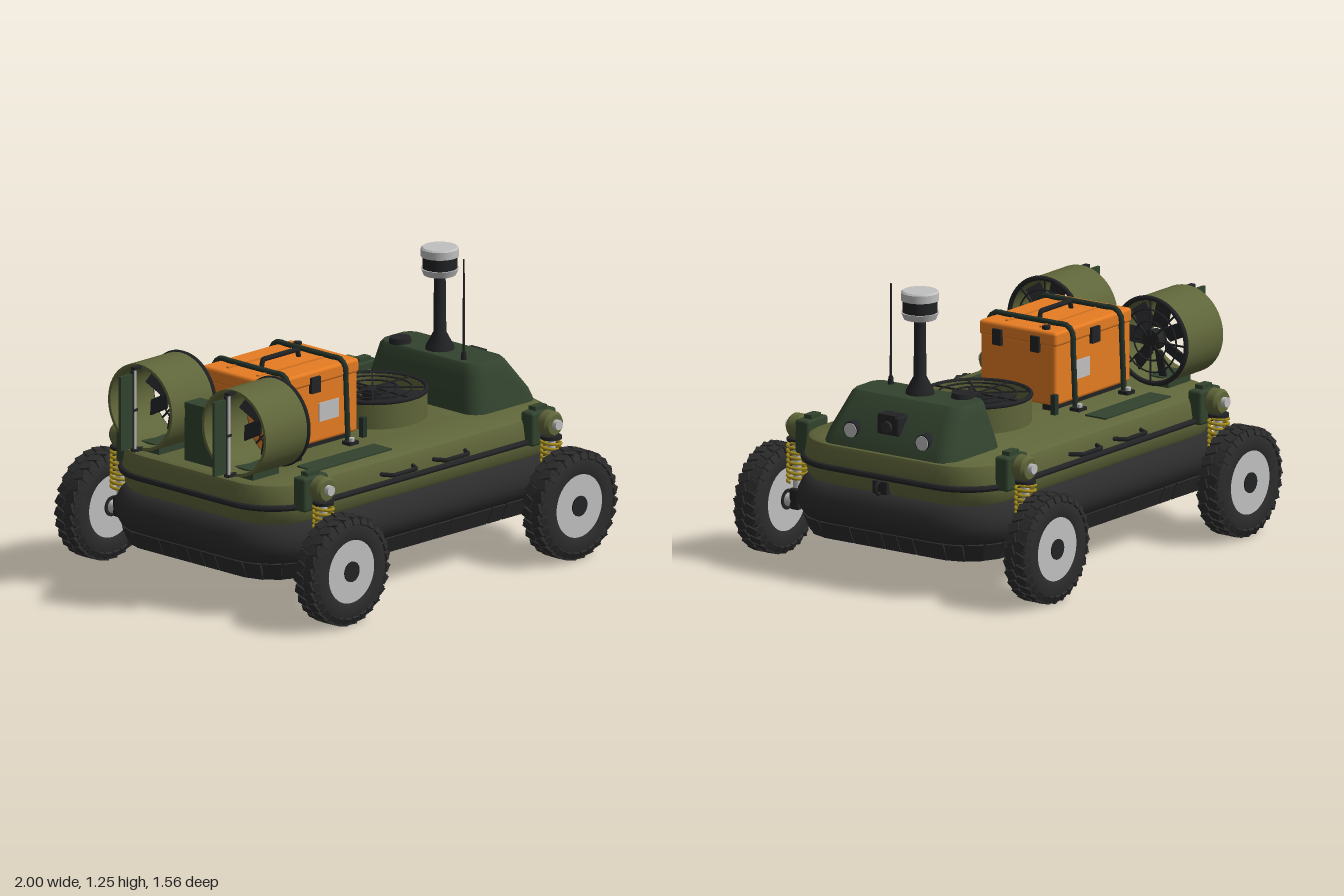
import * as THREE from 'three';
import { mergeGeometries, toCreasedNormals } from 'three/addons/utils/BufferGeometryUtils.js';
import { RoundedBoxGeometry } from 'three/addons/geometries/RoundedBoxGeometry.js';

const mat = (name, color) => Object.assign(new THREE.MeshStandardMaterial({ color }), { name });
const M = {
  olive: mat('olive paint', 0x60663a), green: mat('dark green paint', 0x32432e),
  strap: mat('strap green', 0x24332a), orange: mat('orange case', 0xe67c22),
  rubber: mat('rubber', 0x2c2c2d), black: mat('black plastic', 0x222325),
  grey: mat('light grey metal', 0xc0c0c0), gold: mat('spring gold', 0xa58c1c),
};

export function createModel() {
  const root = new THREE.Group();
  const add = (name, geo, m, x = 0, y = 0, z = 0, parent = root) => {
    const mesh = new THREE.Mesh(geo, m);
    mesh.name = name;
    mesh.position.set(x, y, z);
    parent.add(mesh);
    return mesh;
  };
  const group = (name, x, y, z, parent = root) => {
    const g = new THREE.Group();
    g.name = name;
    g.position.set(x, y, z);
    parent.add(g);
    return g;
  };
  const box = (w, h, d) => new THREE.BoxGeometry(w, h, d);
  const rbox = (w, h, d, r = 0.015) => new RoundedBoxGeometry(w, h, d, 2, r);
  const cyl = (r0, r1, h, n = 24) => new THREE.CylinderGeometry(r0, r1, h, n);
  const lathe = (pts, n = 40) => toCreasedNormals(new THREE.LatheGeometry(pts.map(p => new THREE.Vector2(...p)), n), 0.6);
  const tube = (pts, r, seg = 6) => {
    const path = new THREE.CurvePath();
    const v = pts.map(p => new THREE.Vector3(...p));
    for (let i = 1; i < v.length; i++) path.add(new THREE.LineCurve3(v[i - 1], v[i]));
    return new THREE.TubeGeometry(new THREE.CatmullRomCurve3(path.getSpacedPoints(24)), 48, r, seg);
  };

  // Rounded rectangle around x0..x1, half width hz
  const outline = (x0, x1, hz, r, n = 8) => {
    const pts = [];
    [[x1 - r, hz - r], [x0 + r, hz - r], [x0 + r, r - hz], [x1 - r, r - hz]].forEach(([cx, cz], q) => {
      for (let i = 0; i <= n; i++) {
        const a = (q + i / n) * Math.PI / 2;
        pts.push([cx + r * Math.cos(a), cz + r * Math.sin(a)]);
      }
    });
    return pts;
  };
  // Skin through sections [y, x0, x1, hz, r]
  const loft = (sections, caps = true) => {
    const pos = [], idx = [];
    sections.forEach(([y, ...o]) => outline(...o).forEach(([x, z]) => pos.push(x, y, z)));
    const n = 36, last = (sections.length - 1) * n;
    for (let s = 0; s < sections.length - 1; s++) for (let i = 0; i < n; i++) {
      const a = s * n + i, b = s * n + (i + 1) % n;
      idx.push(a, a + n, b, b, a + n, b + n);
    }
    for (let i = 1; caps && i < n - 1; i++) idx.push(last, last + i + 1, last + i, 0, i, i + 1);
    const g = new THREE.BufferGeometry();
    g.setAttribute('position', new THREE.Float32BufferAttribute(pos, 3));
    g.setIndex(idx);
    return toCreasedNormals(g, 0.6);
  };
  const inset = ([y, d]) => [y, -0.91 + d, 0.988 - d, 0.555 - d, 0.27 - d];

  // Inflatable skirt, its fingers leaning inward below, and the raised floor
  add('skirt', loft([[0.35, 0.15], [0.28, 0.135], [0.23, 0.11], [0.2, 0.085], [0.2, 0.072], [0.225, 0.05], [0.25, 0.026],
    [0.285, 0.005], [0.315, 0], [0.35, 0.005], [0.385, 0.022], [0.407, 0.045], [0.415, 0.08]].map(inset), false), M.rubber);
  add('floor', loft([[0.33, 0.13], [0.36, 0.13]].map(inset)), M.olive);
  const edge = new THREE.CatmullRomCurve3(outline(...inset([0, 0.052]).slice(1)).map(p => new THREE.Vector3(p[0], 0.204, p[1])), true, 'catmullrom', 0.1);
  const fingers = [];
  for (let i = 0; i < 64; i++) {
    const p = edge.getPointAt(i / 64), t = edge.getTangentAt(i / 64);
    fingers.push(box(0.08, 0.084, 0.014).rotateX(-0.42).rotateY(Math.atan2(-t.z, t.x)).translate(p.x, p.y, p.z));
  }
  add('skirtFingers', mergeGeometries(fingers), M.rubber);

  // Hull and rub rail
  add('hull', loft([[0.405, 0.06], [0.425, 0.046], [0.47, 0.036], [0.51, 0.034], [0.565, 0.043], [0.582, 0.05], [0.592, 0.068]].map(inset)), M.olive);
  const ring = [];
  for (let i = 0; i <= 8; i++) {
    const a = -Math.PI + i * Math.PI / 4;
    ring.push(inset([0.489 + 0.014 * Math.sin(a), 0.028 - 0.014 * Math.cos(a)]));
  }
  add('rubRail', loft(ring, false), M.black);
  for (const s of [1, -1]) {
    add('deckPanel', box(0.47, 0.008, 0.11), M.green, -0.305, 0.595, s * 0.385);
    for (const x of [-0.12, 0.2])
      add('sideHandle', tube([[x - 0.1, 0.53, s * 0.51], [x - 0.07, 0.53, s * 0.565], [x + 0.07, 0.53, s * 0.565], [x + 0.1, 0.53, s * 0.51]], 0.01), M.black);
  }
  add('towBlock', box(0.05, 0.055, 0.075), M.black, 0.94, 0.442, 0);
  add('towRing', new THREE.TorusGeometry(0.026, 0.008, 8, 20), M.black, 0.968, 0.442, 0);

  // Ducted fan, axis along local y, guard at the top
  const fan = (name, R, h, x, y, z) => {
    const g = group(name, x, y, z);
    add('duct', lathe([[R - 0.016, h], [R - 0.02, h / 2], [R - 0.014, 0], [R, 0], [R, h], [R - 0.016, h]], 48), M.olive, 0, 0, 0, g);
    add('guardRim', new THREE.TorusGeometry(R - 0.004, 0.011, 8, 48).rotateX(Math.PI / 2), M.black, 0, h, 0, g);
    for (const k of [0.45, 0.72])
      add('guardRing', new THREE.TorusGeometry(R * k, 0.004, 6, 40).rotateX(Math.PI / 2), M.black, 0, h + 0.004, 0, g);
    add('fanHub', cyl(0.045, 0.045, 0.05), M.black, 0, h - 0.025, 0, g);
    const parts = [];
    for (let i = 0; i < 8; i++)
      parts.push(box(R - 0.03, 0.007, 0.007).translate(R / 2 + 0.01, h + 0.002, 0).rotateY(i * Math.PI / 4));
    for (let i = 0; i < 7; i++)
      parts.push(box(R - 0.08, 0.008, 0.07).rotateX(0.5).translate(R / 2 + 0.012, h - 0.045, 0).rotateY(i * Math.PI / 3.5 + 0.2));
    add('bladesAndSpokes', mergeGeometries(parts), M.black, 0, 0, 0, g);
    return g;
  };
  fan('liftFan', 0.235, 0.12, 0.262, 0.59, 0);
  add('liftMotor', cyl(0.044, 0.044, 0.075), M.grey, 0.262, 0.625, 0);

  // Rear thrusters with rudders
  for (const s of [1, -1]) {
    fan('thruster', 0.192, 0.262, -0.875, 0.803, s * 0.28).rotation.z = -Math.PI / 2;
    add('thrusterFoot', box(0.16, 0.06, 0.12), M.green, -0.74, 0.605, s * 0.28);
    add('rudder', box(0.07, 0.33, 0.014), M.green, -0.965, 0.8, s * 0.28);
    add('rudderEdge', cyl(0.008, 0.008, 0.36, 8), M.black, -0.924, 0.8, s * 0.28);
    add('rudderPost', cyl(0.007, 0.007, 0.38, 8), M.grey, -0.907, 0.8, s * 0.28);
    for (const y of [0.62, 0.985]) add('rudderBracket', box(0.06, 0.012, 0.024), M.black, -0.89, y, s * 0.28);
    add('rudderStay', box(0.03, 0.012, 0.014), M.black, -0.91, 0.8, s * 0.28);
  }
  add('thrusterPylon', box(0.095, 0.26, 0.18), M.green, -0.75, 0.72, 0);

  // Cargo case
  const cargo = group('cargoCase', -0.305, 0, 0);
  add('caseBody', rbox(0.545, 0.275, 0.4), M.orange, 0, 0.757, 0, cargo);
  add('caseLid', rbox(0.555, 0.065, 0.41), M.orange, 0, 0.913, 0, cargo);
  add('caseHandle', tube([[-0.115, 0.94, 0], [-0.105, 0.978, 0], [0.105, 0.978, 0], [0.115, 0.94, 0]], 0.011), M.black, 0, 0, 0, cargo);
  add('valveKnob', cyl(0.018, 0.018, 0.02, 16), M.black, 0.235, 0.95, -0.125, cargo);
  for (const s of [1, -1]) {
    add('lidRib', box(0.46, 0.012, 0.012), M.orange, 0, 0.947, s * 0.09, cargo);
    add('sideLatch', box(0.055, 0.07, 0.02), M.black, 0, 0.885, s * 0.208, cargo);
    add('sideLabel', box(0.12, 0.083, 0.006), M.grey, 0.09, 0.753, s * 0.202, cargo);
    add('frontLatch', box(0.02, 0.07, 0.045), M.black, 0.28, 0.885, s * 0.1, cargo);
    add('caseStop', box(0.025, 0.09, 0.025), M.strap, 0.292, 0.635, s * 0.21, cargo);
    add('caseFoot', box(0.5, 0.04, 0.05), M.black, 0, 0.607, s * 0.14, cargo);
    for (const x of [-0.175, 0.175]) {
      add('strapAnchor', box(0.055, 0.015, 0.05), M.black, x, 0.6, s * 0.25, cargo);
      add('strapBolt', cyl(0.012, 0.012, 0.02, 12), M.grey, x, 0.612, s * 0.258, cargo);
    }
  }
  for (const x of [-0.175, 0.175])
    add('strap', tube([[x, 0.6, -0.235], [x, 0.93, -0.22], [x, 0.96, -0.195], [x, 0.96, 0.195], [x, 0.93, 0.22], [x, 0.6, 0.235]], 0.012), M.strap, 0, 0, 0, cargo);

  // Sensor cabin
  add('cabin', loft([[0.588, 0.535, 0.935, 0.35, 0.075], [0.64, 0.542, 0.915, 0.338, 0.075], [0.74, 0.565, 0.838, 0.312, 0.07],
    [0.785, 0.575, 0.802, 0.3, 0.065], [0.8, 0.587, 0.785, 0.287, 0.055]]), M.green);
  add('cameraBox', rbox(0.1, 0.085, 0.115, 0.01), M.black, 0.86, 0.705, 0);
  add('cameraHood', box(0.06, 0.012, 0.09), M.black, 0.885, 0.748, 0);
  add('cameraLens', cyl(0.026, 0.026, 0.02).rotateZ(Math.PI / 2), M.rubber, 0.912, 0.7, 0);
  for (const s of [1, -1]) {
    add('lampHousing', cyl(0.037, 0.037, 0.06).rotateZ(Math.PI / 2), M.black, 0.887, 0.658, s * 0.19);
    add('lampLens', cyl(0.032, 0.032, 0.004).rotateZ(Math.PI / 2), M.grey, 0.918, 0.658, s * 0.19);
  }
  add('roofBeacon', cyl(0.045, 0.05, 0.025), M.black, 0.625, 0.81, -0.19);
  add('antennaBase', cyl(0.01, 0.014, 0.04, 12), M.black, 0.625, 0.815, 0.19);
  add('antenna', cyl(0.004, 0.005, 0.42, 8), M.black, 0.625, 1.035, 0.19);
  add('mast', lathe([[0, 0.795], [0.064, 0.795], [0.06, 0.815], [0.028, 0.875], [0.025, 1.13], [0, 1.13]], 24), M.black, 0.673, 0, 0);
  [[0.082, 0.07, 0.03, 1.145, M.grey], [0.075, 0.075, 0.055, 1.187, M.black], [0.082, 0.082, 0.034, 1.23, M.grey], [0.074, 0.082, 0.007, 1.25, M.grey]]
    .forEach(([a, b, h, y, m]) => add('scannerBand', cyl(a, b, h, 40), m, 0.673, y, 0));

  // Wheels: tyre, tread blocks, rims (axis along local z)
  const tyre = lathe([[0.135, -0.055], [0.15, -0.062], [0.195, -0.062], [0.222, -0.052], [0.232, -0.035], [0.232, 0.035], [0.222, 0.052], [0.195, 0.062], [0.15, 0.062], [0.135, 0.055]], 48).rotateX(Math.PI / 2);
  const blocks = [];
  for (let i = 0; i < 56; i++) {
    const side = i % 2 ? 1 : -1, a = i * Math.PI / 28;
    blocks.push(box(0.04, 0.016, 0.048).rotateY(side * 0.4).translate(0, 0.232, side * 0.026).rotateZ(a));
    blocks.push(box(0.034, 0.03, 0.012).rotateX(-side * 0.5).translate(0, 0.218, side * 0.054).rotateZ(a));
  }
  const tread = mergeGeometries(blocks);
  const spring = new THREE.CatmullRomCurve3(Array.from({ length: 97 }, (_, i) =>
    new THREE.Vector3(0.043 * Math.cos(i * Math.PI / 6), 0.33 + 0.178 * i / 96, 0.043 * Math.sin(i * Math.PI / 6))));
  const coil = new THREE.TubeGeometry(spring, 168, 0.007, 6);
  const pivot = lathe([[0, -0.035], [0.045, -0.035], [0.056, -0.02], [0.056, 0.02], [0.045, 0.035], [0, 0.035]], 28).rotateX(Math.PI / 2);

  for (const x of [-0.66, 0.735]) for (const s of [1, -1]) {
    const wheel = group('wheel', x, 0.242, s * 0.716);
    add('tyre', tyre, M.rubber, 0, 0, 0, wheel);
    add('tread', tread, M.rubber, 0, 0, 0, wheel);
    add('rim', cyl(0.144, 0.144, 0.114, 40).rotateX(Math.PI / 2), M.grey, 0, 0, 0, wheel);
    add('hub', cyl(0.045, 0.045, 0.124).rotateX(Math.PI / 2), M.black, 0, 0, 0, wheel);

    // Suspension leg
    const leg = group('suspension', x, 0, s * 0.605);
    add('bracket', rbox(0.15, 0.15, 0.07, 0.012), M.green, 0, 0.55, -s * 0.075, leg);
    add('bracketCap', box(0.07, 0.025, 0.04), M.green, 0, 0.63, -s * 0.08, leg);
    add('pivot', pivot, M.olive, 0, 0.575, -s * 0.008, leg);
    add('pivotBolt', cyl(0.022, 0.022, 0.025, 16).rotateX(Math.PI / 2), M.grey, 0, 0.577, s * 0.036, leg);
    add('springSeat', cyl(0.046, 0.046, 0.014), M.black, 0, 0.516, 0, leg);
    add('coilSpring', coil, M.gold, 0, 0, 0, leg);
    add('damper', cyl(0.018, 0.018, 0.25, 16), M.grey, 0, 0.41, 0, leg);
    add('knuckle', rbox(0.06, 0.095, 0.05, 0.012), M.black, 0, 0.255, 0, leg);
    add('axle', cyl(0.03, 0.03, 0.06, 16).rotateX(Math.PI / 2), M.grey, 0, 0.242, s * 0.04, leg);
  }
  return root;
}
